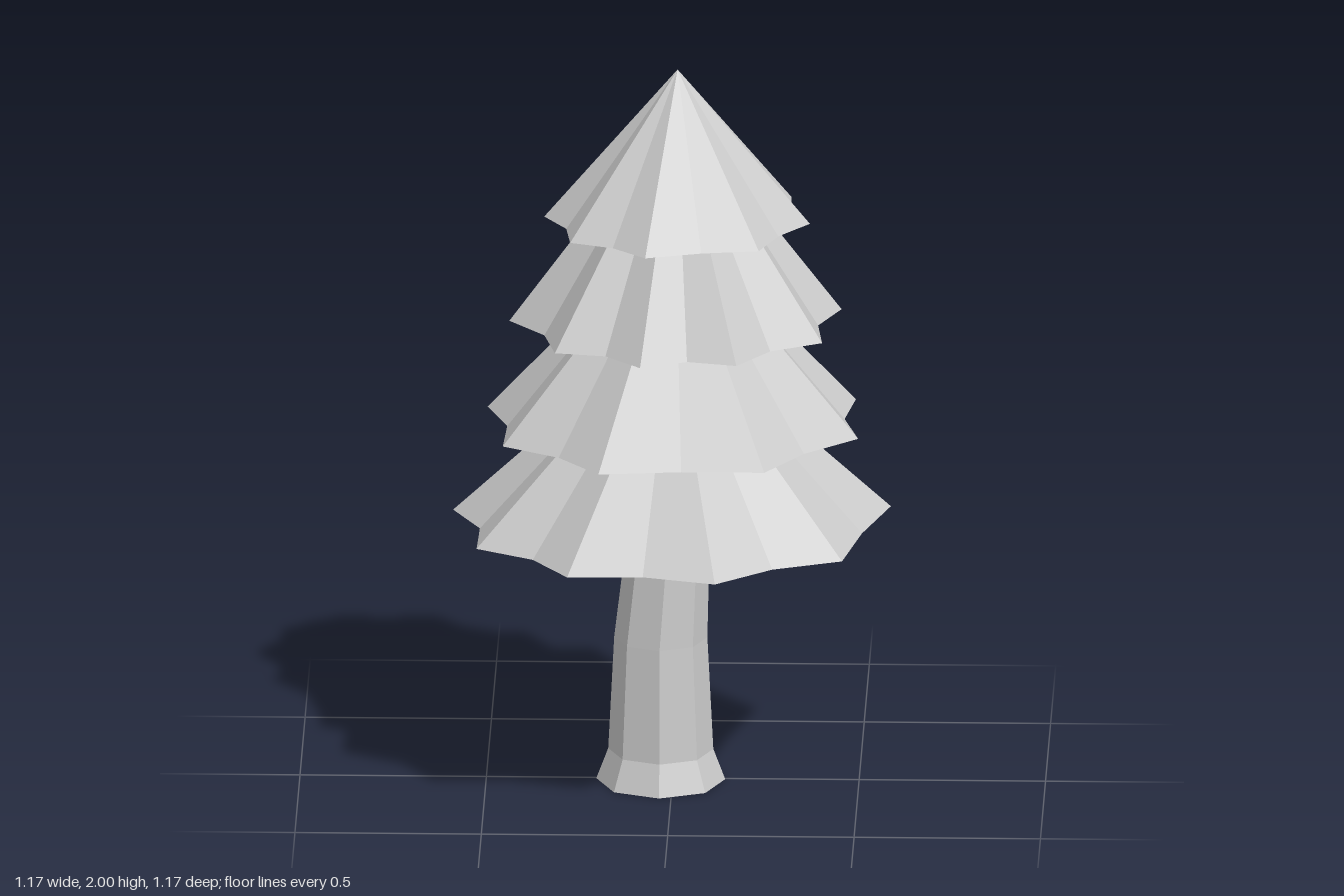
import * as THREE from 'three';

const material = new THREE.MeshStandardMaterial({ color: 0xcccccc, flatShading: true });

// Point at an angle (degrees, turning from +x towards +z) and radius around a centre
function polar(cx, y, cz, degrees, radius) {
  const a = THREE.MathUtils.degToRad(degrees);
  return new THREE.Vector3(cx + radius * Math.cos(a), y, cz + radius * Math.sin(a));
}

// Skins a stack of rings and caps both ends; the last ring may shrink to a point.
function loft(name, rings) {
  const pos = [];
  const tri = (...corners) => corners.forEach((p) => pos.push(p.x, p.y, p.z));
  const centre = (ring) =>
    ring.reduce((sum, p) => sum.add(p), new THREE.Vector3()).divideScalar(ring.length);
  const first = rings[0], last = rings[rings.length - 1];
  const bottom = centre(first), top = centre(last);
  const pointed = last[0].distanceTo(last[1]) < 1e-6;
  const n = first.length;
  for (let i = 0; i < n; i++) {
    const j = (i + 1) % n;
    for (let k = 0; k < rings.length - 1; k++) {
      const lo = rings[k], hi = rings[k + 1];
      tri(lo[i], hi[i], lo[j]);
      if (!(pointed && hi === last)) tri(lo[j], hi[i], hi[j]);
    }
    tri(bottom, first[i], first[j]);
    if (!pointed) tri(top, last[j], last[i]);
  }
  const geometry = new THREE.BufferGeometry();
  geometry.setAttribute('position', new THREE.Float32BufferAttribute(pos, 3));
  geometry.computeVertexNormals();
  const mesh = new THREE.Mesh(geometry, material);
  mesh.name = name;
  return mesh;
}

// Eight-sided trunk: height, radius and sideways lean of each ring
function createTrunk() {
  const sections = [
    [0, 0.173, -0.032],
    [0.085, 0.141, -0.032],
    [0.4, 0.125, -0.032],
    [0.75, 0.108, -0.007],
  ];
  return loft('trunk', sections.map(([y, r, x]) =>
    Array.from({ length: 8 }, (_, i) => polar(x, y, 0.006, i * 45, r))));
}

// Foliage tiers: nine tips at uneven angles, with a notch halfway between neighbours
const tiers = [
  { name: 'bottomFoliage', x: 0, z: 0, y: 0.735, top: 1.012, tip: 0.593, notch: 0.526, shrink: 0.5,
    angles: [-94, -55, -11, 38.5, 77.5, 117, 151, 185, 226] },
  { name: 'lowerFoliage', x: 0.007, z: 0, y: 1.01, top: 1.302, tip: 0.517, notch: 0.454, shrink: 0.48,
    angles: [-100, -60, -22, 17, 61, 112, 152, 191.5, 225.5] },
  { name: 'upperFoliage', x: 0.01, z: 0.005, y: 1.3, top: 1.582, tip: 0.449, notch: 0.386, shrink: 0.53,
    angles: [-105, -61, -11, 28, 67.5, 101, 135, 175, 215] },
  { name: 'topFoliage', x: 0.013, z: 0.005, y: 1.58, top: 2, tip: 0.358, notch: 0.312, shrink: 0,
    angles: [-111, -72, -33, 6, 51, 102.5, 142, 181, 215] },
];

function createTier({ name, x, z, y, top, tip, notch, shrink, angles }) {
  const ring = (height, scale) => angles.flatMap((a, i) => {
    const next = i + 1 < angles.length ? angles[i + 1] : angles[0] + 360;
    return [
      polar(x, height, z, a, tip * scale),
      polar(x, height, z, (a + next) / 2, notch * scale),
    ];
  });
  return loft(name, [ring(y, 1), ring(top, shrink)]);
}

export function createModel() {
  const tree = new THREE.Group();
  tree.name = 'tree';
  tree.add(createTrunk(), ...tiers.map(createTier));
  return tree;
}
